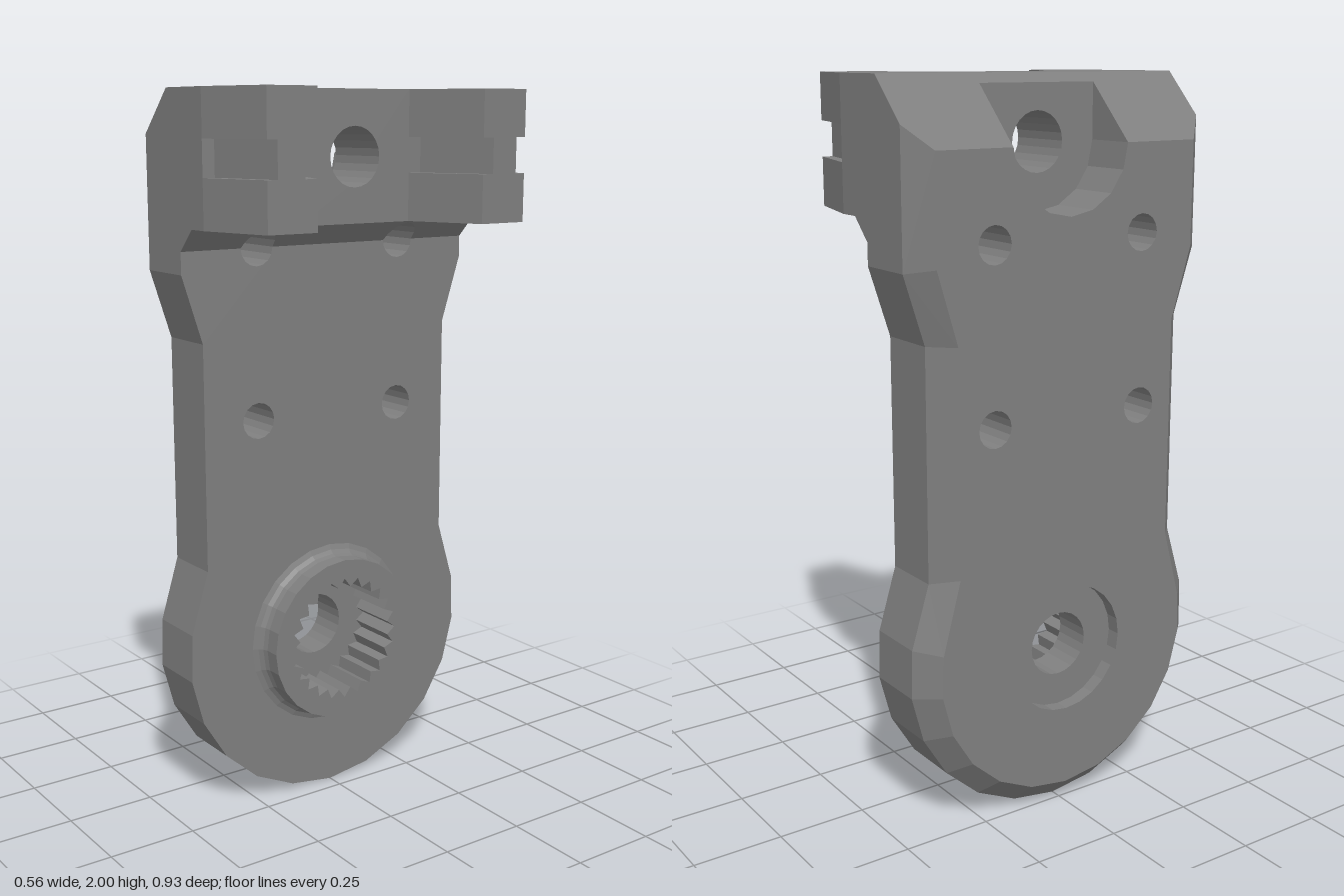
import * as THREE from 'three';

// ---- Helpers: points are [x, y, z]; each returns a flat list of triangle corners ----
const V = (p) => new THREE.Vector3(...p);

// One triangle, wound so that it faces along the hint vector
function tri(a, b, c, hint) {
  const n = V(b).sub(V(a)).cross(V(c).sub(V(a)));
  return n.dot(hint) < 0 ? [...a, ...c, ...b] : [...a, ...b, ...c];
}

// Flat face with optional holes
function panel(outer, normal, holes = []) {
  const size = normal.map(Math.abs);
  const drop = size.indexOf(Math.max(...size));
  const flat = (loop) => loop.map((p) => new THREE.Vector2(...p.filter((_, i) => i !== drop)));
  const all = [outer, ...holes].flat();
  return THREE.ShapeUtils.triangulateShape(flat(outer), holes.map(flat))
    .flatMap(([a, b, c]) => tri(all[a], all[b], all[c], V(normal)));
}

// Wall between two loops, facing away from (sign 1) or towards (sign -1) a centre
function loft(a, b, centre, sign = 1, closed = true) {
  const out = [];
  for (let i = 0; i < (closed ? a.length : a.length - 1); i++) {
    const j = (i + 1) % a.length;
    const hint = V(a[i]).add(V(a[j])).add(V(b[i])).add(V(b[j]))
      .multiplyScalar(0.25).sub(V(centre)).multiplyScalar(sign);
    out.push(...tri(a[i], a[j], b[j], hint), ...tri(a[i], b[j], b[i], hint));
  }
  return out;
}

// Points on an arc around the x axis; radius may be a function of the index
function arc(x, y, z, r, n, from, to) {
  return Array.from({ length: n + 1 }, (_, i) => {
    const t = from + (to - from) * i / n;
    const k = typeof r === 'function' ? r(i) : r;
    return [x, y + k * Math.sin(t), z + k * Math.cos(t)];
  });
}
const ring = (x, y, z, r, n) => arc(x, y, z, r, n, 0, Math.PI * 2).slice(0, n);
const mirrorZ = (loop) => loop.map(([x, y, z]) => [x, y, -z]);

// ---- Main dimensions ----
const BACK = -0.28, CHAMFER = -0.22, FRONT = -0.05, INNER = 0.07, TIP = 0.28;
const HUB = 0.465, BORE = 1.825, POCKET = -0.13, UNDER = 1.65;
const BOLT_Z = 0.235, BOLT_HIGH = 1.59, BOLT_LOW = 1.12, BOLT_R = 0.05;
const SEAT = -0.24, SPLINE_END = -0.13, BOSS_TOP = 0.025;

// Open arm outline, from the +z top round the bottom to the -z top
function outline(x, r, inset, neck) {
  const half = [[x, 1.53 + inset / 5, HUB - inset], [x, 1.345, 0.405 - inset], [x, neck, 0.405 - inset],
    ...arc(x, HUB, 0, r, 6, 0.177, -Math.PI / 2)];
  return [...half, ...mirrorZ(half.slice(0, -1)).reverse()];
}

export function createModel() {
  const group = new THREE.Group();
  const grey = new THREE.MeshStandardMaterial({ color: 0x7f7f7f });
  grey.flatShading = true;
  const part = (name, ...lists) => {
    const g = new THREE.BufferGeometry();
    g.setAttribute('position', new THREE.Float32BufferAttribute(lists.flat(), 3));
    g.computeVertexNormals();
    const mesh = new THREE.Mesh(g, grey);
    mesh.name = name;
    group.add(mesh);
  };

  // Arm: back face, chamfer, side wall and front face
  const rear = outline(BACK, 0.405, 0.06, 0.735);
  const shoulder = outline(CHAMFER, HUB, 0, 0.72);
  const front = outline(FRONT, HUB, 0, 0.72);
  const pocketArc = (x) => arc(x, BORE, 0, 0.18, 8, -Math.PI, 0);
  const bolts = (x, ys) => ys.flatMap((y) => [1, -1].map((s) => ring(x, y, s * BOLT_Z, BOLT_R, 16)));
  const notch = (s, sign) => arc(FRONT, BOLT_HIGH, s * BOLT_Z, BOLT_R, 8, sign * Math.PI, 0);
  part('armBack', panel([...rear, [BACK, BORE, -0.405], ...pocketArc(BACK), [BACK, BORE, 0.405]], [-1, 0, 0],
    [...bolts(BACK, [BOLT_LOW, BOLT_HIGH]), ring(BACK, HUB, 0, 0.18, 24)]));
  part('armChamfer', loft(rear, shoulder, [-0.1, 1, 0], 1, false));
  part('armSide', loft(shoulder, front, [-0.1, 1, 0], 1, false));
  part('armFront', panel([...front, [FRONT, BOLT_HIGH, -HUB], ...notch(-1, -1), ...notch(1, -1),
    [FRONT, BOLT_HIGH, HUB]], [1, 0, 0], [...bolts(FRONT, [BOLT_LOW]), ring(FRONT, HUB, 0, 0.265, 24)]));

  // Sloped web between arm and head, following the bolt holes
  const slope = (loop) => loop.map(([x, y, z]) => [x + Math.max(0, y - BOLT_HIGH), y, z]);
  part('underSlope', panel(slope([[FRONT, BOLT_HIGH, -HUB], ...notch(-1, 1), ...notch(1, 1),
    [FRONT, BOLT_HIGH, HUB], [FRONT, UNDER, HUB], [FRONT, UNDER, -HUB]]), [1, -1.01, 0]));

  // Bolt holes
  for (const y of [BOLT_LOW, BOLT_HIGH]) {
    for (const s of [1, -1]) {
      const mouth = ring(FRONT, y, s * BOLT_Z, BOLT_R, 16);
      part('boltHole', loft(ring(BACK, y, s * BOLT_Z, BOLT_R, 16),
        y === BOLT_HIGH ? slope(mouth) : mouth, [-0.15, y, s * BOLT_Z], -1));
    }
  }

  // Head: sloped back, sides, top, underside and inner wall
  const slant = [[BACK, 1.825, 0.405], [CHAMFER, 1.885, HUB], [-0.105, 2, HUB]];
  const cut = [[POCKET, 1.975, -0.18], [POCKET, 1.975, 0.18]];
  part('headSlope', panel([...slant, ...mirrorZ(slant).reverse(),
    [BACK, BORE, -0.18], ...cut, [BACK, BORE, 0.18]], [-1, 1.01, 0]));
  for (const s of [1, -1]) {
    const side = [[CHAMFER, 1.53], [CHAMFER, 1.885], [-0.105, 2], [INNER, 2], [INNER, UNDER],
      [0.01, UNDER], [FRONT, BOLT_HIGH], [FRONT, 1.53]].map(([x, y]) => [x, y, s * HUB]);
    part('headSide', panel(side, [0, 0, s]));
    part('headCorner', panel([[BACK, 1.542, s * 0.405], [BACK, 1.825, s * 0.405],
      [CHAMFER, 1.885, s * HUB], [CHAMFER, 1.53, s * HUB]], [-1, 0, s * 1.01]));
  }
  const plan = (x, y) => {
    const half = [[x, y, HUB], [INNER, y, HUB], [TIP, y, 0.41], [TIP, y, 0.265], [INNER, y, 0.18]];
    return [...half, ...mirrorZ(half).reverse()];
  };
  part('headTop', panel(plan(-0.105, 2), [0, 1, 0]));
  part('headUnderside', panel(plan(0.01, UNDER), [0, -1, 0]));
  part('headInnerWall', panel([[INNER, UNDER, -0.18], [INNER, 2, -0.18], [INNER, 2, 0.18], [INNER, UNDER, 0.18]],
    [1, 0, 0], [ring(INNER, BORE, 0, 0.08, 24)]));

  // Rounded pocket in the back of the head, and the bore through it
  part('pocketWall', loft(pocketArc(BACK), pocketArc(POCKET), [-0.2, BORE, 0], -1, false),
    ...[1, -1].map((s) => panel([[BACK, BORE, s * 0.18], [POCKET, BORE, s * 0.18],
      [POCKET, 1.975, s * 0.18]], [0, 0, -s])));
  part('pocketFloor', panel([...pocketArc(POCKET), cut[1], cut[0]], [-1, 0, 0],
    [ring(POCKET, BORE, 0, 0.08, 24)]));
  part('headBore', loft(ring(POCKET, BORE, 0, 0.08, 24), ring(INNER, BORE, 0, 0.08, 24), [0, BORE, 0], -1));

  // Prongs with a groove along the outer and inner faces
  const full = [[INNER, HUB], [TIP, 0.41], [TIP, 0.265], [INNER, 0.18]];
  const grooved = [[INNER, HUB], [INNER, 0.43], [TIP, 0.38], [TIP, 0.3], [INNER, 0.22], [INNER, 0.18]];
  const lips = [[full[0], full[1], grooved[2], grooved[1]], [full[2], full[3], grooved[4], grooved[3]]];
  for (const s of [1, -1]) {
    const at = (pts, y) => pts.map(([x, z]) => [x, y, s * z]);
    const wall = (pts, y0, y1) => loft(at(pts, y0), at(pts, y1), [-0.05, (y0 + y1) / 2, s * 0.33], 1, false);
    part('prong', wall(full, UNDER, 1.78), wall(full, 1.875, 2));
    part('prongGroove', wall(grooved, 1.78, 1.875),
      ...lips.flatMap((lip) => [panel(at(lip, 1.78), [0, 1, 0]), panel(at(lip, 1.875), [0, -1, 0])]));
  }

  // Round boss with a filleted foot
  const profile = [[FRONT, 0.265], [-0.044, 0.25], [-0.034, 0.24], [-0.02, 0.235], [BOSS_TOP, 0.235]];
  const bossRings = profile.map(([x, r]) => ring(x, HUB, 0, r, 24));
  part('boss', ...bossRings.slice(1).map((b, i) => loft(bossRings[i], b, [-0.1, HUB, 0])));

  // Toothed socket, shaft hole and shallow recess on the back
  const spline = (x) => ring(x, HUB, 0, (i) => (i % 2 ? 0.155 : 0.18), 48);
  const shaft = (x) => ring(x, HUB, 0, 0.09, 24);
  const recess = (x) => ring(x, HUB, 0, 0.18, 24);
  part('bossFace', panel(bossRings[4], [1, 0, 0], [spline(BOSS_TOP)]));
  part('toothedSocket', loft(spline(BOSS_TOP), spline(SPLINE_END), [-0.05, HUB, 0], -1),
    panel(spline(SPLINE_END), [1, 0, 0], [shaft(SPLINE_END)]));
  part('shaftHole', loft(shaft(SPLINE_END), shaft(SEAT), [-0.18, HUB, 0], -1));
  part('backRecess', panel(recess(SEAT), [-1, 0, 0], [shaft(SEAT)]),
    loft(recess(SEAT), recess(BACK), [-0.26, HUB, 0], -1));
  return group;
}
